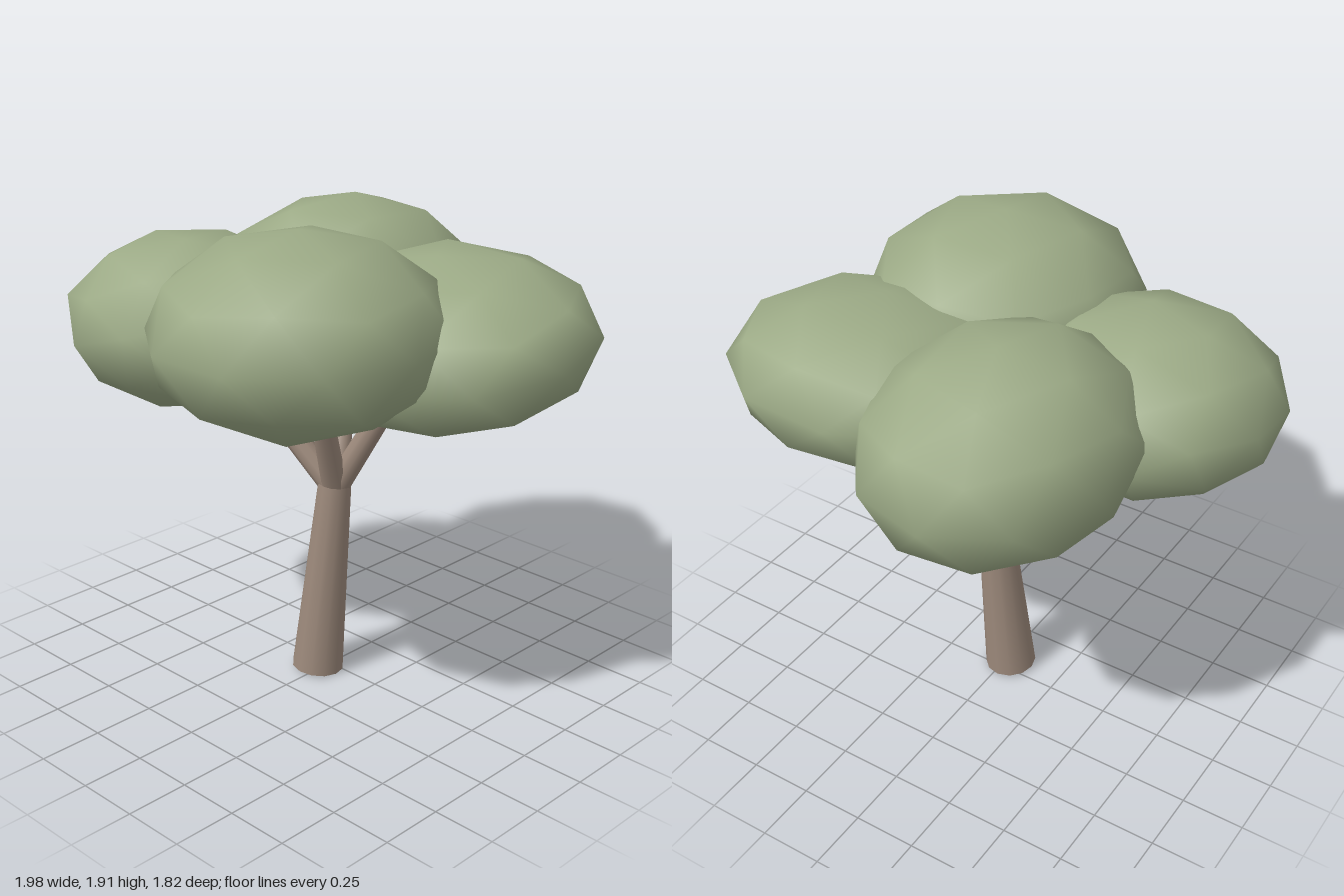
import * as THREE from 'three';

const leafMat = new THREE.MeshStandardMaterial({ color: 0x9caa86 });
leafMat.name = 'sage leaves';
const barkMat = new THREE.MeshStandardMaterial({ color: 0x9c897b, side: THREE.DoubleSide });
barkMat.name = 'brown bark';

// Tapered, open-ended round limb running between two points
function limb(name, from, to, r0, r1, sides) {
  const a = new THREE.Vector3(...from), b = new THREE.Vector3(...to);
  const dir = b.clone().sub(a);
  const mesh = new THREE.Mesh(new THREE.CylinderGeometry(r1, r0, dir.length(), sides, 1, true), barkMat);
  mesh.position.copy(a).add(b).multiplyScalar(0.5);
  mesh.quaternion.setFromUnitVectors(new THREE.Vector3(0, 1, 0), dir.normalize());
  mesh.name = name;
  return mesh;
}

// Smooth-shaded low-poly ball with a vertex at its pole: its facets are turned and
// rolled first, then it is stretched and the whole clump is yawed and pitched
function leafClump(name, centre, radii, turn, roll, yaw, pitch) {
  const rad = THREE.MathUtils.degToRad;
  const geo = new THREE.IcosahedronGeometry(1, 1);
  geo.rotateX(-Math.atan((1 + Math.sqrt(5)) / 2));
  geo.rotateY(-rad(turn));
  geo.rotateZ(rad(roll));
  geo.scale(...radii);
  const mesh = new THREE.Mesh(geo, leafMat);
  mesh.rotation.set(rad(pitch), rad(yaw), 0);
  mesh.position.set(...centre);
  mesh.name = name;
  return mesh;
}

export function createModel() {
  const tree = new THREE.Group();
  tree.name = 'tree';

  // Leaning trunk
  tree.add(limb('trunk', [-0.021, 0.009, 0.05], [0.036, 0.812, 0.01], 0.104, 0.066, 12));

  // Branches fan out from the trunk top, one into each clump
  const fork = [0.038, 0.79, 0.01];
  const branches = [
    ['frontBranch', [0.14, 1.3, 0.22], 0.05],
    ['rightBranch', [-0.34, 1.23, 0.15], 0.05],
    ['backBranch', [-0.1, 1.24, -0.22], 0.046],
    ['leftBranch', [0.28, 1.25, -0.09], 0.05],
  ];
  for (const [name, end, r] of branches) tree.add(limb(name, fork, end, r, r * 0.8, 10));

  // Four overlapping clumps of leaves
  const clumps = [
    ['frontLeaves', [0.22, 1.54, 0.38], [0.545, 0.37, 0.56], -1, 0, 0, 0],
    ['rightLeaves', [-0.495, 1.422, 0.25], [0.51, 0.338, 0.49], 0, 24, 0, 0],
    ['backLeaves', [-0.23, 1.462, -0.35], [0.49, 0.395, 0.565], 3, 0, -10, -4],
    ['leftLeaves', [0.4, 1.445, -0.18], [0.602, 0.312, 0.56], 5, 0, 0, 8],
  ];
  for (const c of clumps) tree.add(leafClump(...c));

  return tree;
}
